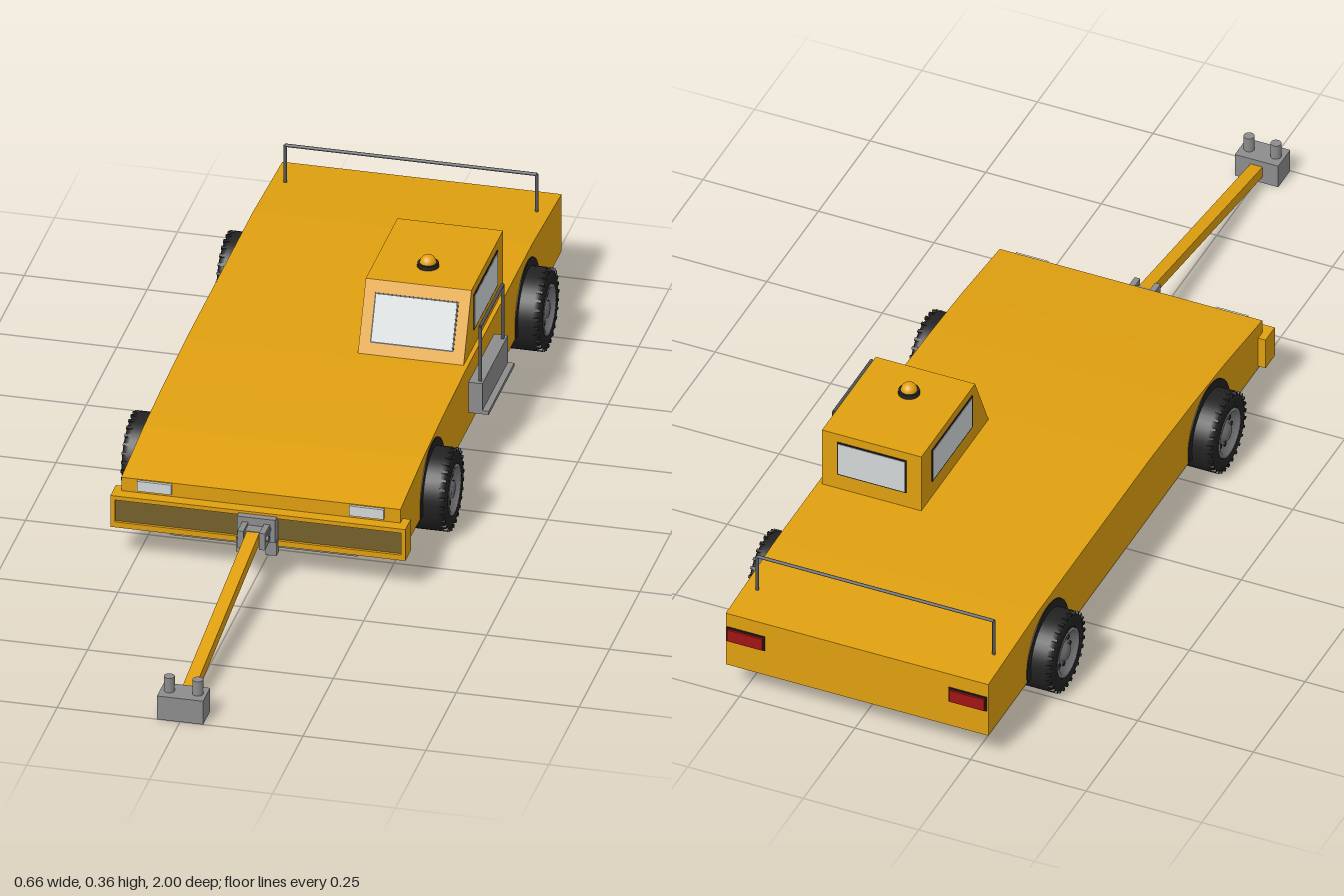
import * as THREE from 'three';

const mat = (name, color, side = THREE.FrontSide) => {
  const m = new THREE.MeshStandardMaterial({ color, side });
  m.name = name;
  return m;
};

export function createModel() {
  const yellow = mat('yellow paint', 0xe0a010);
  const panelGold = mat('dark gold panel', 0x75602a);
  const rubber = mat('black rubber', 0x222222, THREE.DoubleSide);
  const steel = mat('steel grey', 0x8c8c8e);
  const rimGrey = mat('rim grey', 0x77777a, THREE.DoubleSide);
  const rail = mat('rail grey', 0x55585c);
  const under = mat('underside grey', 0x8f9194);
  const glass = mat('pale glass', 0xd3d8d8);
  const lamp = mat('lamp white', 0xd4d8da);
  const red = mat('tail red', 0xa01414);

  const model = new THREE.Group();
  model.name = 'towTractor';

  const add = (name, geo, m, x = 0, y = 0, z = 0, parent = model) => {
    const mesh = new THREE.Mesh(geo, m);
    mesh.name = name;
    mesh.position.set(x, y, z);
    parent.add(mesh);
    return mesh;
  };
  // box given by its limits on each axis
  const box = (name, m, [x0, x1], [y0, y1], [z0, z1], parent = model) =>
    add(name, new THREE.BoxGeometry(x1 - x0, y1 - y0, z1 - z0), m,
      (x0 + x1) / 2, (y0 + y1) / 2, (z0 + z1) / 2, parent);
  // side outline in (z, y), extruded across x
  const sideExtrude = (points, x0, x1) => {
    const shape = new THREE.Shape(points.map(p => new THREE.Vector2(...p)));
    const g = new THREE.ExtrudeGeometry(shape, { depth: x1 - x0, bevelEnabled: false });
    return g.rotateY(-Math.PI / 2).translate(x1, 0, 0);
  };
  // round bar between two points
  const rod = (name, m, a, b, r) => {
    const va = new THREE.Vector3(...a), d = new THREE.Vector3(...b).sub(va);
    const mesh = add(name, new THREE.CylinderGeometry(r, r, d.length(), 10), m);
    mesh.position.copy(va).addScaledVector(d, 0.5);
    mesh.quaternion.setFromUnitVectors(new THREE.Vector3(0, 1, 0), d.normalize());
    return mesh;
  };

  // body and chassis
  add('body', sideExtrude([[0.335, 0.063], [0.335, 0.168], [0.15, 0.187], [0, 0.196], [-0.2, 0.203],
    [-0.75, 0.203], [-0.99, 0.19], [-0.99, 0.063]], -0.284, 0.284), yellow);
  box('underPlate', under, [-0.19, 0.19], [0.038, 0.064], [-0.94, 0.31]);

  // front bumper with raised frame around a dark panel
  box('bumper', yellow, [-0.3, 0.3], [0.068, 0.138], [0.315, 0.352]);
  box('bumperPanel', panelGold, [-0.291, 0.291], [0.08, 0.129], [0.352, 0.354]);
  box('bumperFrameTop', yellow, [-0.3, 0.3], [0.129, 0.138], [0.352, 0.36]);
  box('bumperFrameBottom', yellow, [-0.3, 0.3], [0.068, 0.08], [0.352, 0.36]);

  for (const s of [-1, 1]) {
    box('bumperFrameSide', yellow, [s * 0.2955 - 0.0045, s * 0.2955 + 0.0045], [0.08, 0.129], [0.352, 0.36]);
    box('headlight', lamp, [s * 0.216 - 0.035, s * 0.216 + 0.035], [0.144, 0.166], [0.334, 0.341]);
    box('tailLightFrame', rubber, [s * 0.24 - 0.041, s * 0.24 + 0.041], [0.124, 0.158], [-0.993, -0.988]);
    box('tailLight', red, [s * 0.24 - 0.038, s * 0.24 + 0.038], [0.127, 0.155], [-0.997, -0.99]);
  }

  // cab with sloping windscreen
  add('cab', sideExtrude([[-0.22, 0.19], [-0.22, 0.203], [-0.285, 0.337], [-0.545, 0.337], [-0.545, 0.19]],
    0.06, 0.275), yellow);
  const windowPane = (name, w, h, pos, rx, ry) => {
    const g = new THREE.Group();
    g.name = name;
    g.position.set(...pos);
    g.rotation.set(rx, ry, 0);
    add(name + 'Seal', new THREE.BoxGeometry(w, h, 0.004), rubber, 0, 0, 0, g);
    add(name + 'Glass', new THREE.BoxGeometry(w - 0.006, h - 0.006, 0.006), glass, 0, 0, 0, g);
    model.add(g);
  };
  windowPane('windscreen', 0.17, 0.1, [0.167, 0.269, -0.2525], -0.443, 0);
  windowPane('rearWindow', 0.15, 0.08, [0.167, 0.278, -0.545], 0, Math.PI);
  windowPane('leftWindow', 0.195, 0.078, [0.275, 0.28, -0.398], 0, Math.PI / 2);
  windowPane('rightWindow', 0.195, 0.078, [0.06, 0.28, -0.398], 0, -Math.PI / 2);

  // roof beacon
  add('beaconBase', new THREE.CylinderGeometry(0.021, 0.022, 0.009, 24), rubber, 0.167, 0.341, -0.365);
  add('beaconDome', new THREE.SphereGeometry(0.017, 24, 10, 0, Math.PI * 2, 0, Math.PI / 2), yellow,
    0.167, 0.3445, -0.365);

  // boarding step with grab rail
  box('step', steel, [0.28, 0.325], [0.096, 0.104], [-0.435, -0.225]);
  box('stepBox', steel, [0.28, 0.312], [0.1, 0.164], [-0.435, -0.225]);
  const hoop = (name, a, b, base, top, r) => {
    for (const p of [a, b]) rod(name + 'Post', rail, [p[0], base, p[1]], [p[0], top, p[1]], r);
    rod(name + 'Bar', rail, [a[0], top, a[1]], [b[0], top, b[1]], r);
  };
  hoop('grabRail', [0.305, -0.237], [0.305, -0.42], 0.16, 0.285, 0.0035);
  hoop('rearRail', [-0.256, -0.9], [0.256, -0.9], 0.19, 0.277, 0.0035);

  // wheels, built along +x with the outer face outward
  const v = (x, y) => new THREE.Vector2(x, y);
  const tyreGeo = new THREE.LatheGeometry([v(0.05, -0.06), v(0.072, -0.06), v(0.08, -0.056), v(0.084, -0.046),
    v(0.084, 0.046), v(0.08, 0.056), v(0.072, 0.06), v(0.054, 0.06), v(0.05, 0.05)], 40).rotateZ(-Math.PI / 2);
  const rimGeo = new THREE.LatheGeometry([v(0, 0.058), v(0.016, 0.058), v(0.02, 0.05), v(0.038, 0.048),
    v(0.045, 0.06), v(0.052, 0.061), v(0.053, 0.05)], 32).rotateZ(-Math.PI / 2);
  const backGeo = new THREE.CylinderGeometry(0.052, 0.052, 0.004, 24).rotateZ(Math.PI / 2);
  const holeGeo = new THREE.CylinderGeometry(0.005, 0.005, 0.003, 10).rotateZ(Math.PI / 2);
  const lugGeo = new THREE.BoxGeometry(0.014, 0.006, 0.006);
  // arch plate: disc cut flat at the body's lower edge
  const cut = Math.asin(0.022 / 0.1);
  const archShape = new THREE.Shape();
  archShape.absarc(0, 0, 0.1, -cut, Math.PI + cut, false);
  const archGeo = new THREE.ExtrudeGeometry(archShape, { depth: 0.004, bevelEnabled: false, curveSegments: 32 })
    .rotateY(Math.PI / 2);
  for (const z of [0.075, -0.705]) {
    for (const s of [-1, 1]) {
      const wheel = new THREE.Group();
      wheel.name = (z > 0 ? 'front' : 'rear') + 'Wheel';
      wheel.position.set(s * 0.27, 0.084, z);
      if (s < 0) wheel.rotation.y = Math.PI;
      add('tyre', tyreGeo, rubber, 0, 0, 0, wheel);
      add('rim', rimGeo, rimGrey, 0, 0, 0, wheel);
      add('rimBack', backGeo, rimGrey, -0.055, 0, 0, wheel);
      add('wheelArch', archGeo, rubber, 0.012, 0.001, 0, wheel);
      for (let i = 0; i < 8; i++) {
        const a = i * Math.PI / 4;
        add('rimHole', holeGeo, rubber, 0.0495, 0.03 * Math.cos(a), 0.03 * Math.sin(a), wheel);
      }
      for (let i = 0; i < 28; i++) {
        const a = i * Math.PI / 14;
        const lug = add('treadLug', lugGeo, rubber, 0.052, 0.081 * Math.cos(a), 0.081 * Math.sin(a), wheel);
        lug.rotation.x = a;
      }
      model.add(wheel);
    }
  }

  // hitch bracket on the bumper
  box('hitchPlate', steel, [-0.039, 0.039], [0.082, 0.133], [0.352, 0.375]);
  box('hitchTop', steel, [-0.03, 0.03], [0.108, 0.116], [0.372, 0.4]);
  for (const s of [-1, 1]) {
    box('hitchCheek', steel, [s * 0.022 - 0.006, s * 0.022 + 0.006], [0.085, 0.122], [0.372, 0.415]);
    box('hitchFoot', steel, [s * 0.03 - 0.011, s * 0.03 + 0.011], [0.052, 0.083], [0.352, 0.372]);
  }
  rod('hitchPin', steel, [-0.032, 0.104, 0.4], [0.032, 0.104, 0.4], 0.006);

  // tow bar and end coupling
  const dy = 0.026 - 0.104, dz = 0.95 - 0.39;
  const bar = add('towBar', new THREE.BoxGeometry(0.026, 0.024, Math.hypot(dy, dz)), yellow, 0, 0.065, 0.67);
  bar.rotation.x = Math.atan2(-dy, dz);
  box('couplingBlock', steel, [-0.047, 0.047], [0, 0.052], [0.942, 1]);
  for (const s of [-1, 1]) {
    add('couplingPin', new THREE.CylinderGeometry(0.011, 0.011, 0.036, 16), steel, s * 0.029, 0.066, 0.971);
  }
  return model;
}
